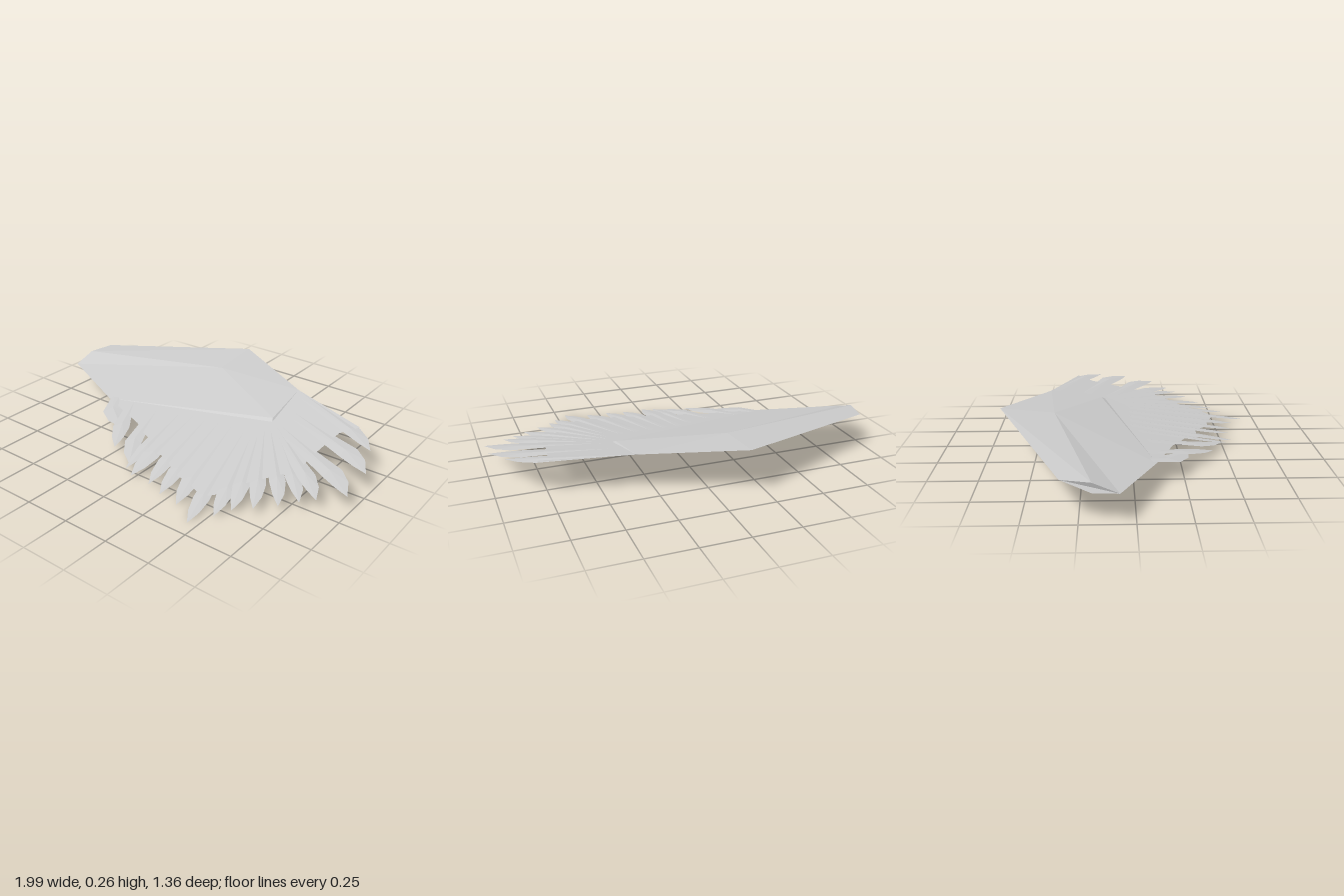
import * as THREE from 'three';

const material = new THREE.MeshStandardMaterial({ color: 0xcccccc, flatShading: true, side: THREE.DoubleSide });

// Height of the tilted plane in which the whole wing lies
const planeY = (z) => 0.13 - 0.19 * z;

function makeMesh(name, points, index) {
  const geometry = new THREE.BufferGeometry();
  geometry.setAttribute('position', new THREE.Float32BufferAttribute(points.flat(), 3));
  geometry.setIndex(index);
  geometry.computeVertexNormals();
  const mesh = new THREE.Mesh(geometry, material);
  mesh.name = name;
  return mesh;
}

// Thick wing arm: rings of leading edge, top ridge, trailing edge, bottom ridge
function createArm() {
  const stations = [
    { lead: [-0.96, -0.33], ridge: [-0.99, -0.19], trail: [-1, -0.07], t: 0.024 },
    { lead: [-0.14, -0.68], ridge: [-0.14, -0.4], trail: [-0.56, 0.11], t: 0.028 },
    { lead: [0.35, -0.45], ridge: [0.37, -0.16], trail: [0.38, -0.14], t: 0.008 },
  ];
  const points = [];
  for (const { lead, ridge, trail, t } of stations) {
    for (const [[x, z], lift] of [[lead, 0], [ridge, t], [trail, 0], [ridge, -t]]) {
      points.push([x, planeY(z) + lift, z]);
    }
  }
  const index = [0, 2, 1, 0, 3, 2, 8, 9, 10, 8, 10, 11];
  for (let i = 0; i < 2; i++) {
    for (let j = 0; j < 4; j++) {
      const a = i * 4 + j, b = i * 4 + (j + 1) % 4;
      index.push(a, b, a + 4, b, b + 4, a + 4);
    }
  }
  return makeMesh('wingArm', points, index);
}

// Thin sheet joining the feathers up to their notches
function createCoverts() {
  const outline = [
    [0.35, -0.45], [0.8, -0.31], [0.73, -0.22], [0.71, -0.07], [0.7, 0.06], [0.7, 0.13],
    [0.65, 0.18], [0.6, 0.24], [0.54, 0.31], [0.49, 0.38], [0.45, 0.46], [0.4, 0.5],
    [0.27, 0.45], [0.18, 0.44], [0.07, 0.36], [-0.06, 0.36], [-0.12, 0.28], [-0.2, 0.25],
    [-0.26, 0.21], [-0.38, 0.17], [-0.56, 0.11], [-0.14, -0.4],
  ];
  const contour = outline.map(([x, z]) => new THREE.Vector2(x, z));
  const faces = THREE.ShapeUtils.triangulateShape(contour, []);
  const points = outline.map(([x, z]) => [x, planeY(z), z]);
  // Corners reversed so the sheet faces up
  return makeMesh('coverts', points, faces.flatMap(([a, b, c]) => [a, c, b]));
}

// One creased feather; hook moves the point towards one side of the vane
function createFeather([tipX, tipZ, rootX, rootZ, width, hook]) {
  const length = Math.hypot(tipX - rootX, tipZ - rootZ);
  const dx = (tipX - rootX) / length, dz = (tipZ - rootZ) / length;
  const sideA = width * (0.5 + 0.5 * hook), sideB = -width * (0.5 - 0.5 * hook);
  const middle = (sideA + sideB) / 2;
  const place = (back, across, lift) => {
    const x = tipX - dx * back + dz * across;
    const z = tipZ - dz * back - dx * across;
    return [x, planeY(z) + lift, z];
  };
  // The first point is the raised midrib, the rest run around the vane
  const points = [
    place(0.2, middle, 0.005),
    place(length, sideA * 0.4, 0),
    place(0.17, sideA, -0.005),
    place(0.08, sideA * 0.7, -0.003),
    place(0, 0, 0),
    place(0.08, sideB * 0.7, 0.002),
    place(0.17, sideB, 0.004),
    place(length, sideB * 0.4, 0),
  ];
  const index = [];
  for (let i = 1; i < 8; i++) index.push(0, i % 7 + 1, i);
  return makeMesh('feather', points, index);
}

export function createModel() {
  const wing = new THREE.Group();
  wing.name = 'wing';
  wing.add(createArm(), createCoverts());

  // Tip x and z, root x and z, width, hook
  const feathers = [
    [0.93, -0.17, 0.36, -0.41, 0.09, 0.7],
    [0.99, -0.01, 0.42, -0.23, 0.11, 0.7],
    [0.99, 0.17, 0.42, -0.1, 0.11, 0.7],
    [0.88, 0.26, 0.4, -0.1, 0.09, 0.5],
    [0.82, 0.31, 0.4, -0.1, 0.08, 0.4],
    [0.75, 0.38, 0.38, -0.08, 0.08, 0.4],
    [0.66, 0.45, 0.36, -0.06, 0.08, 0.3],
    [0.58, 0.51, 0.34, -0.04, 0.08, 0.3],
    [0.53, 0.58, 0.32, -0.02, 0.08, 0.2],
    [0.45, 0.675, 0.28, 0, 0.08, 0],
    [0.33, 0.605, 0.2, 0, 0.09, -0.2],
    [0.215, 0.59, 0.12, 0, 0.08, -0.2],
    [0.12, 0.56, 0.04, 0, 0.08, -0.2],
    [0, 0.555, -0.04, 0, 0.09, -0.1],
    [-0.06, 0.525, -0.12, 0.04, 0.07, 0],
    [-0.07, 0.49, -0.24, 0.08, 0.09, -0.8],
    [-0.23, 0.425, -0.42, 0.08, 0.09, -0.1],
    [-0.31, 0.285, -0.54, 0.04, 0.11, -0.8],
  ];
  const fan = new THREE.Group();
  fan.name = 'featherFan';
  for (const feather of feathers) fan.add(createFeather(feather));
  wing.add(fan);
  return wing;
}
